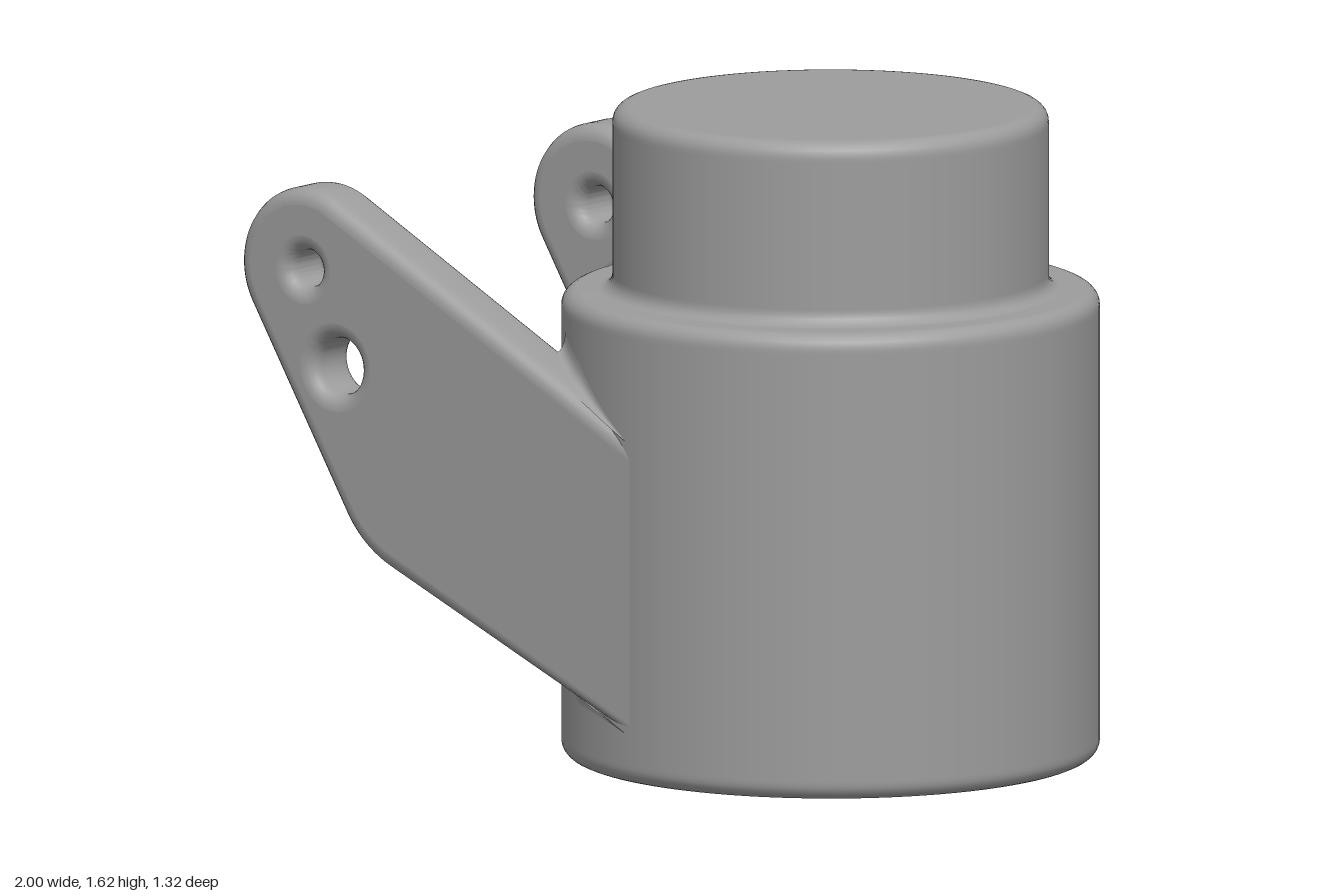
import * as THREE from 'three';
import { toCreasedNormals } from 'three/addons/utils/BufferGeometryUtils.js';

const CX = 0.34, R = 0.66, R2 = 0.535, H = 1.16, TOP = 1.615; // stepped body
const FACE = 0.65, THICK = 0.16, BEVEL = 0.04;                // side arms
const topEdge = x => 1.347 - 0.532 * (x + 0.706);
const lowEdge = x => 0.45 - 0.44 * (x + 0.53);
const bodyZ = x => Math.sqrt(R * R - (x - CX) ** 2);

// Lathe profile with rounded corners and a coved step
function bodyGeometry() {
  const pts = [];
  const add = (x, y) => pts.push(new THREE.Vector2(x, y));
  const arc = (x, y, r, a0, a1) => {
    for (let i = 0; i <= 6; i++) {
      const a = THREE.MathUtils.degToRad(a0 + (a1 - a0) * i / 6);
      add(x + r * Math.cos(a), y + r * Math.sin(a));
    }
  };
  add(0, 0);
  add(R - 0.045, 0);
  arc(R - 0.04, 0.04, 0.04, -90, 0);
  add(R, 0.05);
  add(R, H - 0.05);
  arc(R - 0.04, H - 0.04, 0.04, 0, 90);
  arc(R2 + 0.035, H + 0.035, 0.035, 270, 180);
  add(R2, H + 0.04);
  add(R2, TOP - 0.05);
  arc(R2 - 0.04, TOP - 0.04, 0.04, 0, 90);
  add(R2 - 0.045, TOP);
  add(0, TOP);
  return new THREE.LatheGeometry(pts, 96);
}

// Arm plate with a round tip, two holes and rounded rims
function armGeometry() {
  const s = new THREE.Shape();
  s.moveTo(CX, lowEdge(CX));
  s.lineTo(CX, topEdge(CX));
  s.absarc(-0.8, 1.17, 0.2, THREE.MathUtils.degToRad(62), THREE.MathUtils.degToRad(211), false);
  s.lineTo(-0.675, 0.574);
  s.quadraticCurveTo(-0.626, 0.492, -0.53, 0.45);
  s.closePath();
  for (const [x, y, r] of [[-0.795, 1.17, 0.045], [-0.695, 0.937, 0.07]]) {
    const hole = new THREE.Path();
    hole.absarc(x, y, r, 0, Math.PI * 2, true);
    s.holes.push(hole);
  }
  let g = new THREE.ExtrudeGeometry(s, {
    depth: THICK - 2 * BEVEL, bevelEnabled: true, bevelThickness: BEVEL,
    bevelSize: BEVEL, bevelOffset: -BEVEL, bevelSegments: 5, curveSegments: 24,
  });
  g.translate(0, 0, FACE - THICK + BEVEL);
  g = toCreasedNormals(g, 0.55);
  // keep the broad faces perfectly flat
  const p = g.attributes.position, n = g.attributes.normal;
  for (let i = 0; i < p.count; i += 3) {
    for (const [z, d] of [[FACE, 1], [FACE - THICK, -1]]) {
      if ([0, 1, 2].every(k => Math.abs(p.getZ(i + k) - z) < 1e-4)) {
        for (let k = 0; k < 3; k++) n.setXYZ(i + k, 0, 0, d);
      }
    }
  }
  return g;
}

// Tapering cove where an arm edge runs into the body
function edgeCove(edge, s) {
  const pos = [], idx = [], N = 20, M = 6;
  for (let i = 0; i <= N; i++) {
    const x = -0.1 + 0.31 * i / N, z = bodyZ(x), y = edge(x) - s * 0.004;
    const r = Math.max(0.002, Math.min(0.05, (FACE - z) * 0.65));
    for (let j = 0; j <= M; j++) {
      const t = j / M;
      pos.push(x, y + s * r * t * t, z + r * (1 - t) * (1 - t));
      if (i < N && j < M) {
        const a = i * (M + 1) + j, b = a + M + 1;
        if (s > 0) idx.push(a, b, a + 1, b, b + 1, a + 1);
        else idx.push(a, a + 1, b, b, a + 1, b + 1);
      }
    }
  }
  const g = new THREE.BufferGeometry();
  g.setAttribute('position', new THREE.Float32BufferAttribute(pos, 3));
  g.setIndex(idx);
  g.computeVertexNormals();
  return g;
}

// Cove between the inner arm face and the body, sheared to follow the arm
function innerCove() {
  const s = new THREE.Shape();
  s.moveTo(-0.19, 0.49);
  s.quadraticCurveTo(-0.107, 0.49, -0.152, 0.44);
  s.lineTo(-0.05, 0.45);
  s.lineTo(-0.05, 0.51);
  s.lineTo(-0.19, 0.5);
  s.closePath();
  const top = topEdge(-0.15) - 0.035, low = lowEdge(-0.15) + 0.035;
  const g = new THREE.ExtrudeGeometry(s, { depth: top - low, bevelEnabled: false, curveSegments: 8 });
  g.rotateX(Math.PI / 2).translate(0, top, 0);
  const p = g.attributes.position;
  for (let i = 0; i < p.count; i++) p.setY(i, p.getY(i) - 0.49 * (p.getX(i) + 0.15));
  return toCreasedNormals(g, 0.6);
}

// Mirror a geometry across z = 0 and restore its winding
function mirrorZ(geo) {
  const g = geo.index ? geo.toNonIndexed() : geo.clone();
  g.scale(1, 1, -1);
  for (const a of [g.attributes.position, g.attributes.normal]) {
    for (let i = 0; i < a.count; i += 3) {
      const v = new THREE.Vector3().fromBufferAttribute(a, i + 1);
      const w = new THREE.Vector3().fromBufferAttribute(a, i + 2);
      a.setXYZ(i + 1, w.x, w.y, w.z);
      a.setXYZ(i + 2, v.x, v.y, v.z);
    }
  }
  return g;
}

export function createModel() {
  const model = new THREE.Group();
  model.name = 'cylinderBracket';
  const solid = new THREE.MeshStandardMaterial({ color: 0x9c9c9c });
  const thin = new THREE.MeshStandardMaterial({ color: 0x9c9c9c, side: THREE.DoubleSide });
  const put = (parent, name, geo, mat = solid) => {
    const m = new THREE.Mesh(geo, mat);
    m.name = name;
    parent.add(m);
    return m;
  };

  put(model, 'steppedBody', bodyGeometry()).position.x = CX;

  const parts = [
    ['armPlate', armGeometry(), solid],
    ['innerCove', innerCove(), solid],
    ['upperCove', edgeCove(topEdge, 1), thin],
    ['lowerCove', edgeCove(lowEdge, -1), thin],
  ];
  for (const side of ['front', 'back']) {
    const arm = new THREE.Group();
    arm.name = side + 'Arm';
    for (const [name, geo, mat] of parts) put(arm, name, side === 'front' ? geo : mirrorZ(geo), mat);
    model.add(arm);
  }
  return model;
}
